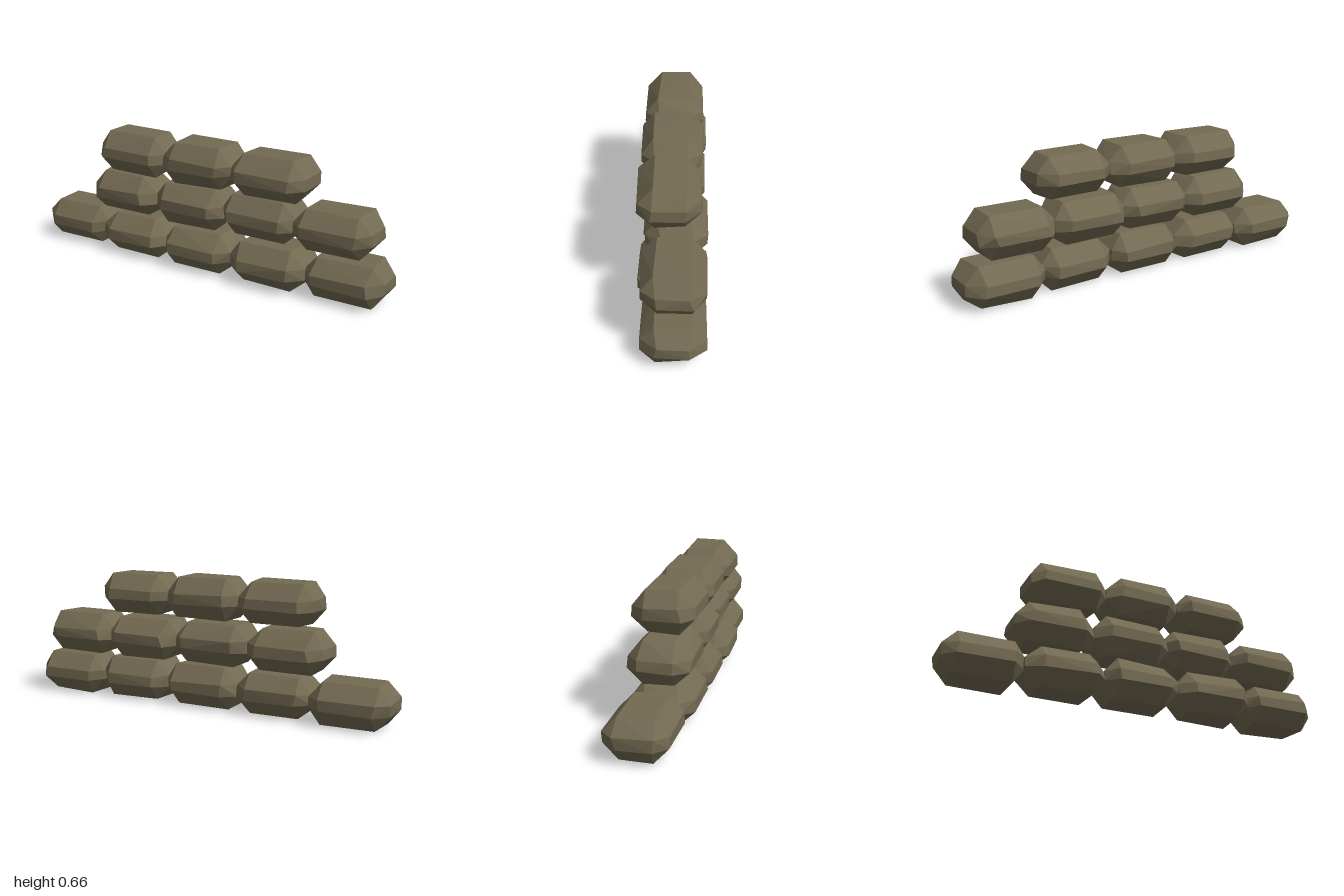
import * as THREE from 'three';
import { ConvexGeometry } from 'three/addons/geometries/ConvexGeometry.js';

// Small seeded generator, returns -1..1
let seed = 7;
function jitter(amount) {
  seed = (seed * 16807) % 2147483647;
  return (seed / 2147483647 * 2 - 1) * amount;
}

// Bag: a box with one wide chamfer on every edge, corners slightly irregular
const OUTER = [0.201, 0.104, 0.149];
const INNER = [0.136, 0.027, 0.08];

function bagGeometry() {
  const points = [];
  for (const sx of [-1, 1]) for (const sy of [-1, 1]) for (const sz of [-1, 1]) {
    const signs = [sx, sy, sz];
    // each corner is cut into three points, one per neighbouring face
    for (let axis = 0; axis < 3; axis++) {
      const p = signs.map((s, i) => i === axis
        ? s * (OUTER[i] + jitter(0.004))
        : s * (INNER[i] + jitter(i === 1 ? 0.005 : 0.013)));
      points.push(new THREE.Vector3(...p));
    }
  }
  return new ConvexGeometry(points);
}

// Rows of the wall: height of the centre, then [x, z] of every bag
const ROWS = [
  { name: 'bottomRow', y: 0.108, bags: [[-0.795, -0.024], [-0.4, 0], [0, 0.008], [0.4, 0.015], [0.795, -0.012]] },
  { name: 'middleRow', y: 0.332, bags: [[-0.46, -0.004], [-0.055, -0.005], [0.332, -0.018], [0.727, -0.012]] },
  { name: 'topRow', y: 0.556, bags: [[-0.4, 0.003], [0, 0.008], [0.398, 0.014]] },
];

export function createModel() {
  const model = new THREE.Group();
  model.name = 'sandbagWall';
  const cloth = new THREE.MeshStandardMaterial({ color: 0x736a52, flatShading: true });
  for (const { name, y, bags } of ROWS) {
    const row = new THREE.Group();
    row.name = name;
    row.position.y = y;
    bags.forEach(([x, z], i) => {
      const bag = new THREE.Mesh(bagGeometry(), cloth);
      bag.name = 'sandbag' + (i + 1);
      bag.position.set(x, 0, z);
      row.add(bag);
    });
    model.add(row);
  }
  return model;
}
